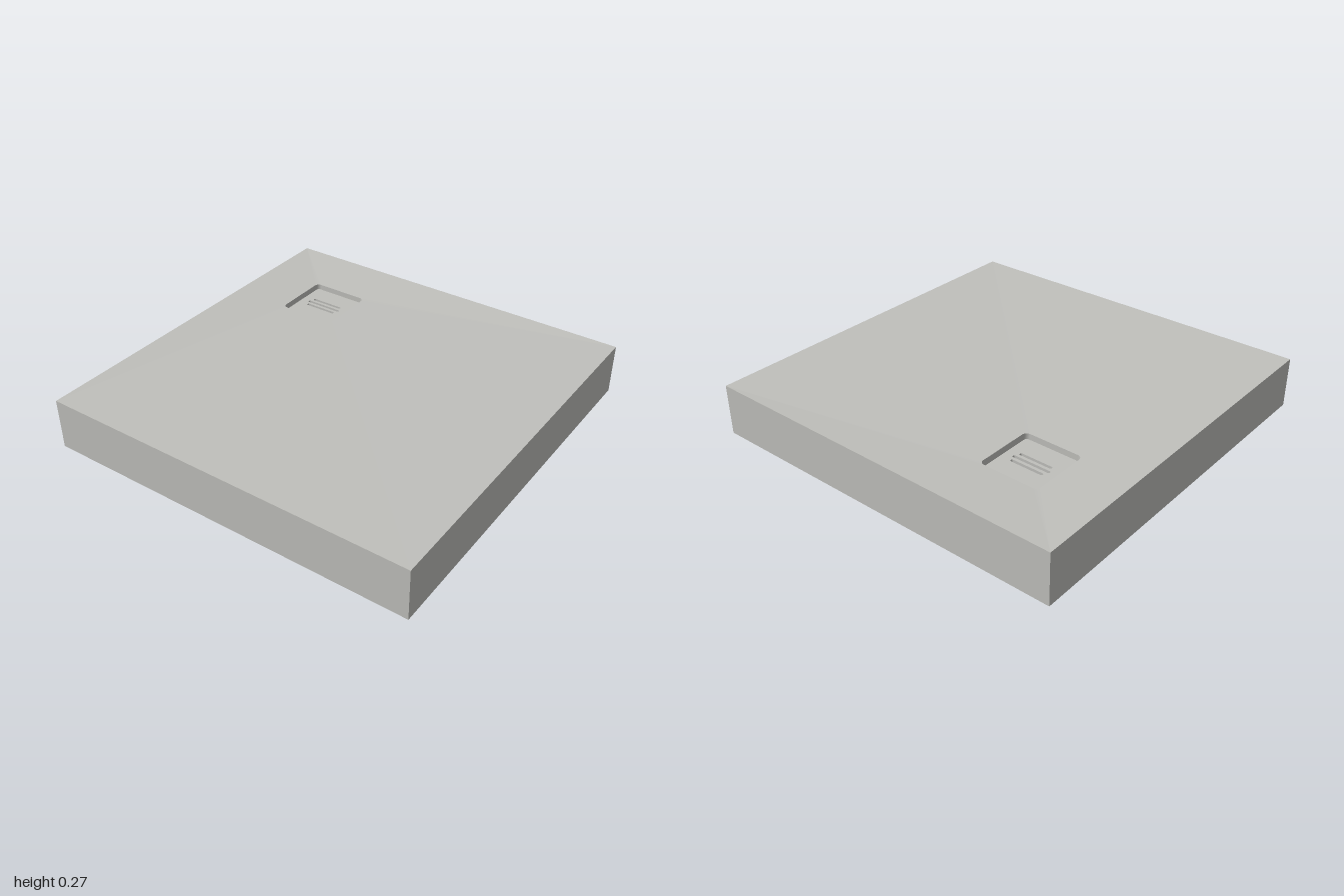
import * as THREE from 'three';

const H = 0.27, WALL = 0.018, DIP = 0.018;   // tray height, wall thickness, fall to the drain
const DX = -0.535, DZ = -0.535, DH = 0.16;   // drain centre and half size
const LIP = H - DIP, THICK = 0.014;

// Loop of a rounded square lying flat: centre, half size, corner radius, height
function loop(cx, cz, half, r, y) {
  const pts = [], n = 5;
  for (let c = 0; c < 4; c++) {
    const mid = Math.PI / 4 + c * Math.PI / 2;
    const ox = cx + Math.sign(Math.cos(mid)) * (half - r);
    const oz = cz + Math.sign(Math.sin(mid)) * (half - r);
    for (let i = 0; i <= n; i++) {
      const a = (c + i / n) * Math.PI / 2;
      pts.push([ox + r * Math.cos(a), y, oz + r * Math.sin(a)]);
    }
  }
  return pts;
}

// Skin between successive loops
function loft(loops) {
  const n = loops[0].length, idx = [];
  for (let i = 0; i < loops.length - 1; i++) {
    for (let j = 0; j < n; j++) {
      const k = (j + 1) % n;
      const a = i * n + j, b = i * n + k, c = a + n, d = b + n;
      idx.push(a, c, b, b, c, d);
    }
  }
  const g = new THREE.BufferGeometry();
  g.setAttribute('position', new THREE.Float32BufferAttribute(loops.flat(2), 3));
  g.setIndex(idx);
  g.computeVertexNormals();
  return g;
}

// Gently falling surface from the square edge to the drain opening
function dish(outerHalf, innerHalf, drop) {
  const rings = [], steps = 8;
  for (let i = 0; i <= steps; i++) {
    const t = i / steps;
    const y = H - drop - DIP * t;
    rings.push(loop(DX * t, DZ * t, outerHalf + (innerHalf - outerHalf) * t, 0.025 * t, y));
  }
  return rings;
}

// Flat plate extruded upward from height y
function plate(shape, depth, y) {
  const g = new THREE.ExtrudeGeometry(shape, { depth, bevelEnabled: false, curveSegments: 8 });
  g.rotateX(Math.PI / 2);
  g.translate(0, y + depth, 0);
  return g;
}

const toVec2 = (pts) => pts.map(([x, , z]) => new THREE.Vector2(x, z));

export function createModel() {
  const group = new THREE.Group();
  const stone = new THREE.MeshStandardMaterial({ color: 0xc0c0bc });
  stone.name = 'stoneGrey';
  const add = (name, geometry) => {
    const m = new THREE.Mesh(geometry, stone);
    m.name = name;
    group.add(m);
  };
  // A square skirt has sharp corners, so it gets face normals
  const sharp = (g) => {
    const f = g.toNonIndexed();
    f.computeVertexNormals();
    return f;
  };

  // Outer skirt and sloping top
  add('outerSkirt', sharp(loft([loop(0, 0, 1, 0, 0), loop(0, 0, 1, 0, H)])));
  add('traySurface', loft(dish(1, DH, 0)));

  // Recess for the drain
  const floorY = 0.212, panY = 0.204;
  add('recessWall', loft([loop(DX, DZ, DH, 0.025, LIP), loop(DX, DZ, DH, 0.025, floorY)]));
  add('recessFloor', loft([loop(DX, DZ, DH, 0.025, floorY), loop(DX, DZ, 0, 0, floorY)]));

  // Hollow underside
  const inner = 1 - WALL, panHalf = DH + 0.004;
  add('panBottom', loft([loop(DX, DZ, 0, 0, panY), loop(DX, DZ, panHalf, 0.025, panY)]));
  add('panWall', loft([loop(DX, DZ, panHalf, 0.025, panY), loop(DX, DZ, panHalf, 0.025, LIP - THICK)]));
  add('underside', loft(dish(inner, panHalf, THICK).reverse()));
  add('innerSkirt', sharp(loft([loop(0, 0, inner, 0, H - THICK), loop(0, 0, inner, 0, 0)])));

  // Bottom rim with triangular corner braces
  const rim = new THREE.Shape(toVec2([[-1, 0, -1], [1, 0, -1], [1, 0, 1], [-1, 0, 1]]));
  const opening = [];
  for (const [sx, sz, leg] of [[-1, -1, 0.08], [1, -1, 0.16], [1, 1, 0.16], [-1, 1, 0.16]]) {
    const alongX = [sx * (inner - leg), 0, sz * inner];
    const alongZ = [sx * inner, 0, sz * (inner - leg)];
    opening.push(...(sx * sz > 0 ? [alongZ, alongX] : [alongX, alongZ]));
  }
  rim.holes.push(new THREE.Path(toVec2(opening)));
  add('bottomRim', plate(rim, 0.008, 0));

  // Drain cover with three rounded slots
  const cover = new THREE.Shape(toVec2(loop(DX, DZ, DH - 0.012, 0.016, 0)));
  for (const [dz, half] of [[-0.032, 0.09], [0, 0.104], [0.032, 0.09]]) {
    const r = 0.008, slot = new THREE.Path();
    slot.absarc(DX + half - r, DZ + dz, r, -Math.PI / 2, Math.PI / 2, false);
    slot.absarc(DX - half + r, DZ + dz, r, Math.PI / 2, Math.PI * 1.5, false);
    slot.closePath();
    cover.holes.push(slot);
  }
  add('drainCover', plate(cover, 0.018, floorY));

  return group;
}
